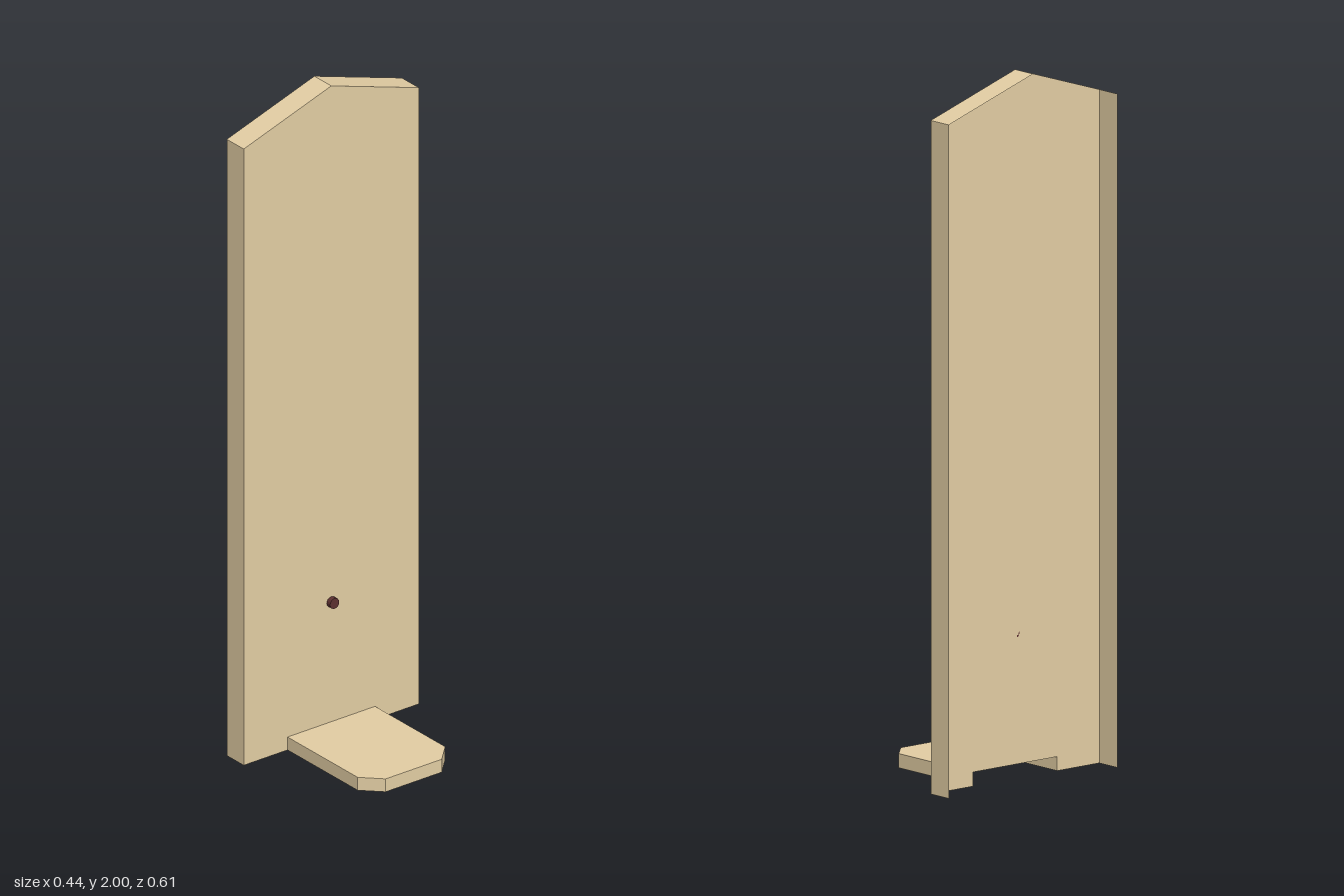
import * as THREE from 'three';
import { mergeGeometries } from 'three/addons/utils/BufferGeometryUtils.js';

const wood = new THREE.MeshStandardMaterial({ color: 0xe2cda3, flatShading: true, side: THREE.DoubleSide });
const darkWood = new THREE.MeshStandardMaterial({ color: 0x5c3030, flatShading: true, side: THREE.DoubleSide });

// Flat face at z = 0 with walls of the given depth behind it. The walls follow
// the counter-clockwise rim; the base points complete the face without a wall.
function openPanel(rim, base, depth) {
  const points = [...rim, ...base].map(([x, y]) => new THREE.Vector2(x, y));
  const face = new THREE.ShapeGeometry(new THREE.Shape(points)).toNonIndexed();
  face.deleteAttribute('uv');

  const corners = [];
  for (let i = 0; i < rim.length - 1; i++) {
    const [px, py] = rim[i], [qx, qy] = rim[i + 1];
    const a = [px, py, 0], b = [px, py, -depth], c = [qx, qy, -depth], d = [qx, qy, 0];
    corners.push(...a, ...b, ...c, ...a, ...c, ...d);
  }
  const walls = new THREE.BufferGeometry();
  walls.setAttribute('position', new THREE.Float32BufferAttribute(corners, 3));
  walls.computeVertexNormals();
  return mergeGeometries([face, walls]);
}

export function createModel() {
  const model = new THREE.Group();
  const boardFront = -0.147, boardHalf = 0.306, boardDepth = 0.076;
  const shelfHalf = 0.153, shelfTop = 0.04;

  const add = (name, geometry, material) => {
    const mesh = new THREE.Mesh(geometry, material);
    mesh.name = name;
    model.add(mesh);
  };

  // Tall board with a gabled top, open behind and below, notched for the shelf
  const board = openPanel(
    [[boardHalf, 0], [boardHalf, 1.9], [0, 2], [-boardHalf, 1.9], [-boardHalf, 0]],
    [[-shelfHalf, 0], [-shelfHalf, shelfTop], [shelfHalf, shelfTop], [shelfHalf, 0]],
    boardDepth
  );
  board.rotateY(Math.PI / 2).translate(boardFront, 0, 0);
  add('backBoard', board, wood);

  // Low shelf with clipped outer corners, open underneath
  const shelf = openPanel(
    [[boardFront, -shelfHalf], [0.167, -shelfHalf], [0.222, -0.098],
      [0.222, 0.098], [0.167, shelfHalf], [boardFront, shelfHalf]],
    [], shelfTop
  );
  shelf.rotateX(-Math.PI / 2).translate(0, shelfTop, 0);
  add('shelf', shelf, wood);

  // Small round peg on the board
  const peg = new THREE.CylinderGeometry(0.016, 0.016, 0.015, 16);
  peg.rotateZ(-Math.PI / 2).translate(boardFront + 0.0075, 0.41, 0);
  add('peg', peg, darkWood);

  return model;
}
